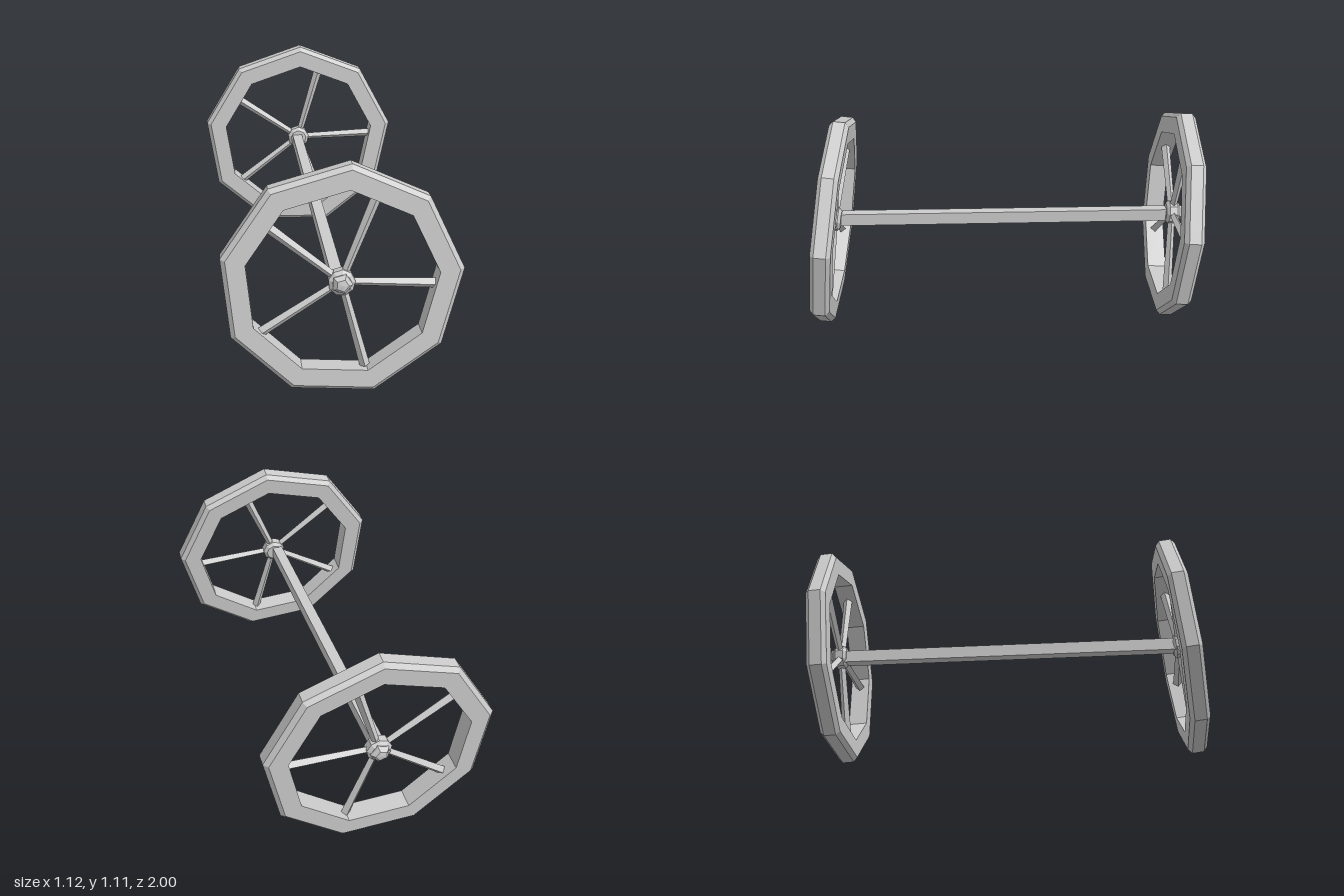
import * as THREE from 'three';

const DEG = Math.PI / 180;
const material = new THREE.MeshStandardMaterial({ color: 0xcccccc, flatShading: true });

function part(name, geometry) {
  const mesh = new THREE.Mesh(geometry, material);
  mesh.name = name;
  return mesh;
}

// Faceted turned shape about the z axis, with a corner at the given angle
function turned(profile, sides, angle, direction = 1) {
  const points = profile.map(([r, h]) => new THREE.Vector2(r, h));
  return new THREE.LatheGeometry(points, sides, angle + Math.PI / 2, Math.PI * 2)
    .rotateX(direction * Math.PI / 2);
}

// Wheel in the xy plane; side is +1 or -1 for the way its hub cap points
function makeWheel(name, { center, normal, rimAngle, spokeAngle, side }) {
  const wheel = new THREE.Group();
  wheel.name = name;

  // Nine-sided rim with chamfered outer edges
  wheel.add(part('rim', turned([
    [0.448, -0.05], [0.54, -0.05], [0.563, -0.03], [0.563, 0.03],
    [0.54, 0.05], [0.448, 0.05], [0.448, -0.05],
  ], 9, rimAngle * DEG)));

  // Five four-sided spokes, slightly thicker at the rim
  for (let i = 0; i < 5; i++) {
    const spoke = part('spoke', new THREE.CylinderGeometry(0.024, 0.018, 0.41, 4).translate(0, 0.235, 0));
    spoke.rotation.z = (spokeAngle - 90 + i * 72) * DEG;
    wheel.add(spoke);
  }

  // Hub with bevelled edges and a five-sided cap on the outer side
  wheel.add(part('hub', turned([
    [0, -0.035], [0.045, -0.035], [0.063, -0.02], [0.063, 0.02], [0.045, 0.035], [0, 0.035],
  ], 9, rimAngle * DEG)));
  wheel.add(part('hubCap', turned([
    [0.05, 0.03], [0.048, 0.042], [0.03, 0.058], [0, 0.062],
  ], 5, spokeAngle * DEG, side)));

  wheel.position.set(...center);
  wheel.quaternion.setFromUnitVectors(
    new THREE.Vector3(0, 0, 1), new THREE.Vector3(...normal).normalize());
  return wheel;
}

export function createModel() {
  const model = new THREE.Group();
  model.name = 'axleWithWheels';

  // Both wheels lean a little, each at its own angle
  model.add(makeWheel('frontWheel', {
    center: [-0.02, 0.556, 0.884], normal: [-0.045, 0.12, 1],
    rimAngle: 85, spokeAngle: 68, side: 1,
  }));
  model.add(makeWheel('backWheel', {
    center: [0, 0.557, -0.917], normal: [-0.025, 0.06, 1],
    rimAngle: 88, spokeAngle: 73, side: -1,
  }));

  // Square axle running between the hubs
  const start = new THREE.Vector3(-0.036, 0.552, 0.87);
  const end = new THREE.Vector3(-0.008, 0.547, -0.9);
  const axle = part('axle', new THREE.BoxGeometry(0.056, 0.064, start.distanceTo(end)));
  axle.position.copy(start).add(end).multiplyScalar(0.5);
  axle.lookAt(start);
  model.add(axle);

  return model;
}
